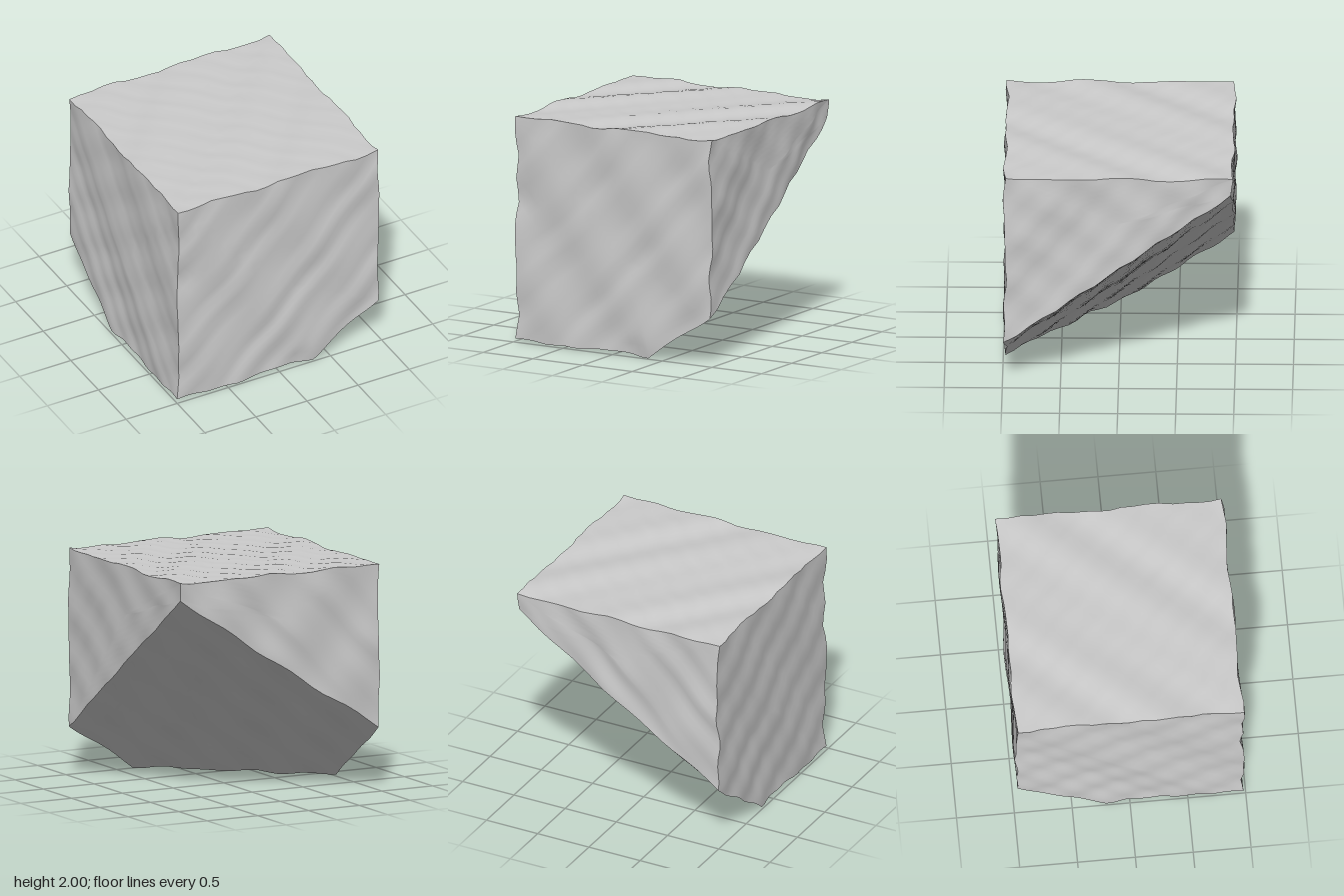
import * as THREE from 'three';
import { mergeVertices, mergeGeometries } from 'three/addons/utils/BufferGeometryUtils.js';

const N = 18; // subdivisions along each face edge

// Corners of the cube and of the slanted cut through its lower back right corner
const H = 0.98, B = 0.02, T = 1.985;
const V = (x, y, z) => new THREE.Vector3(x, y, z);
const topLF = V(-H, T, H), topRF = V(H, T, H), topRB = V(H, T, -H), topLB = V(-H, T, -H);
const baseLF = V(-H, B, H);
const cutRF = V(H, 0.43, H), cutRB = V(H, 1.83, -H), cutLB = V(-H, 0.56, -H);
const cutBaseL = V(-H, B, -0.21), cutBaseF = V(0.34, B, H);

// Each face as a loop, counter-clockwise from outside
const faces = [
  [topLF, topRF, topRB, topLB],
  [baseLF, cutBaseF, cutRF, topRF, topLF],
  [cutRF, cutRB, topRB, topRF],
  [cutRB, cutLB, topLB, topRB],
  [cutLB, cutBaseL, baseLF, topLF, topLB],
  [baseLF, cutBaseL, cutBaseF],
  [cutBaseF, cutBaseL, cutLB, cutRB, cutRF],
];

// Gentle uneven weathering that depends on position only, so edges stay closed
function wave(p, s) {
  return 0.009 * Math.sin(7.1 * p.x + 5.3 * p.y + 6.4 * p.z + s)
    + 0.006 * Math.sin(11.7 * p.x - 13.1 * p.y + 9.2 * p.z + 2.3 * s)
    + 0.004 * Math.sin(-19.3 * p.x + 17.9 * p.y + 21.7 * p.z + 3.7 * s);
}
const chips = [V(-0.92, 1.22, 0.98), V(0.2, 0.04, 0.98)];
function weather(p) {
  const q = V(p.x + wave(p, 0.4), p.y + wave(p, 2.1), p.z + wave(p, 4.5));
  for (const c of chips) q.z -= 0.02 * Math.exp(-p.distanceToSquared(c) / 0.01);
  return q.clamp(V(-1, 0, -1), V(1, 2, 1));
}

// Fan of finely divided triangles around the middle of a face
function roughFace(loop) {
  const mid = loop.reduce((m, p) => m.add(p), V(0, 0, 0)).divideScalar(loop.length);
  const pos = [];
  loop.forEach((a, k) => {
    const b = loop[(k + 1) % loop.length];
    const at = (i, j) => weather(mid.clone()
      .addScaledVector(a.clone().sub(mid), i / N)
      .addScaledVector(b.clone().sub(mid), j / N));
    const tri = (...pts) => pts.forEach((p) => pos.push(p.x, p.y, p.z));
    for (let i = 0; i < N; i++) {
      for (let j = 0; i + j < N; j++) {
        tri(at(i, j), at(i + 1, j), at(i, j + 1));
        if (i + j < N - 1) tri(at(i + 1, j), at(i + 1, j + 1), at(i, j + 1));
      }
    }
  });
  let g = new THREE.BufferGeometry();
  g.setAttribute('position', new THREE.Float32BufferAttribute(pos, 3));
  g = mergeVertices(g, 1e-5);
  g.computeVertexNormals(); // smooth inside a face, sharp between faces
  return g;
}

export function createModel() {
  const group = new THREE.Group();
  group.name = 'cutStone';
  const block = new THREE.Mesh(
    mergeGeometries(faces.map(roughFace)),
    new THREE.MeshStandardMaterial({ color: 0xcccccc }),
  );
  block.name = 'stoneBlock';
  group.add(block);
  return group;
}
